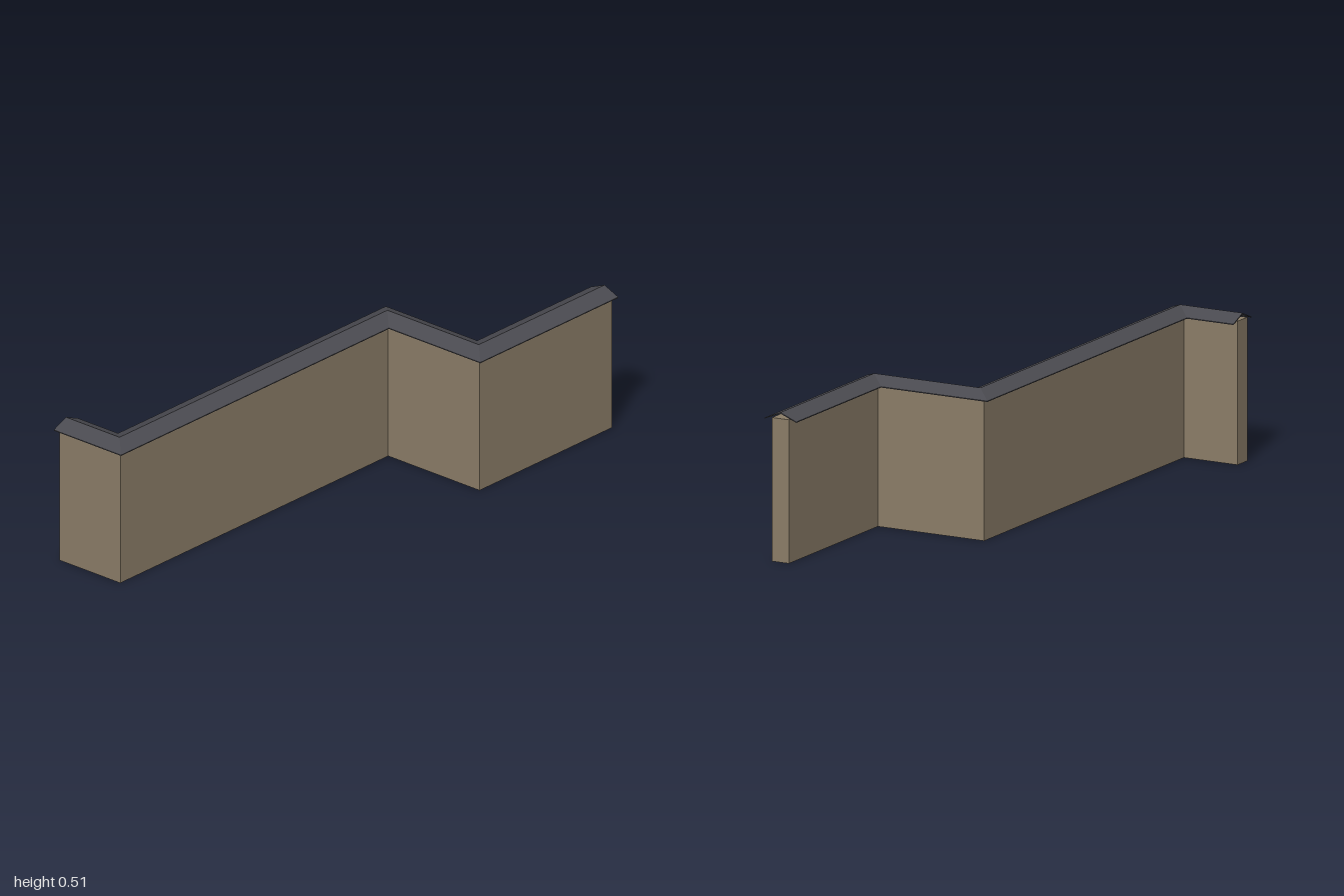
import * as THREE from 'three';

// Centre line of the wall on the ground, as (x, z)
const path = [
  [-0.94, -0.348], [-0.94, -0.113], [0.38, -0.113], [0.38, 0.288], [1, 0.288],
].map(([x, z]) => new THREE.Vector2(x, z));

// Sweep a counter-clockwise (side, height) profile along the path with mitred corners
function sweep(profile) {
  const normals = path.slice(1).map((p, i) => {
    const d = p.clone().sub(path[i]).normalize();
    return new THREE.Vector2(-d.y, d.x);
  });
  const rings = path.map((p, i) => {
    const before = normals[Math.max(i - 1, 0)];
    const after = normals[Math.min(i, normals.length - 1)];
    const mitre = before.clone().add(after).divideScalar(1 + before.dot(after));
    return profile.map(([u, y]) => [p.x + u * mitre.x, y, p.y + u * mitre.y]);
  });

  const positions = [];
  const triangle = (a, b, c) => positions.push(...a, ...b, ...c);
  for (let i = 0; i < rings.length - 1; i++) {
    for (let j = 0; j < profile.length; j++) {
      const k = (j + 1) % profile.length;
      triangle(rings[i][j], rings[i + 1][j], rings[i + 1][k]);
      triangle(rings[i][j], rings[i + 1][k], rings[i][k]);
    }
  }

  // End caps
  const contour = profile.map(([u, y]) => new THREE.Vector2(u, y));
  const first = rings[0], last = rings[rings.length - 1];
  for (const [a, b, c] of THREE.ShapeUtils.triangulateShape(contour, [])) {
    triangle(first[a], first[b], first[c]);
    triangle(last[a], last[c], last[b]);
  }

  const geometry = new THREE.BufferGeometry();
  geometry.setAttribute('position', new THREE.Float32BufferAttribute(positions, 3));
  geometry.computeVertexNormals();
  return geometry;
}

export function createModel() {
  const plaster = new THREE.MeshStandardMaterial({ color: 0x8b7d68 });
  plaster.name = 'tan plaster';
  const slate = new THREE.MeshStandardMaterial({ color: 0x4a4a50 });
  slate.name = 'dark slate';

  const group = new THREE.Group();
  group.name = 'steppedWall';
  const add = (name, profile, material) => {
    const mesh = new THREE.Mesh(sweep(profile), material);
    mesh.name = name;
    group.add(mesh);
  };

  // Upright wall
  add('wall', [[-0.032, 0], [0.032, 0], [0.032, 0.485], [-0.032, 0.485]], plaster);

  // Thin gabled coping, open underneath
  add('coping', [
    [-0.06, 0.478], [0, 0.502], [0.06, 0.478],
    [0.06, 0.481], [0, 0.506], [-0.06, 0.481],
  ], slate);

  return group;
}
